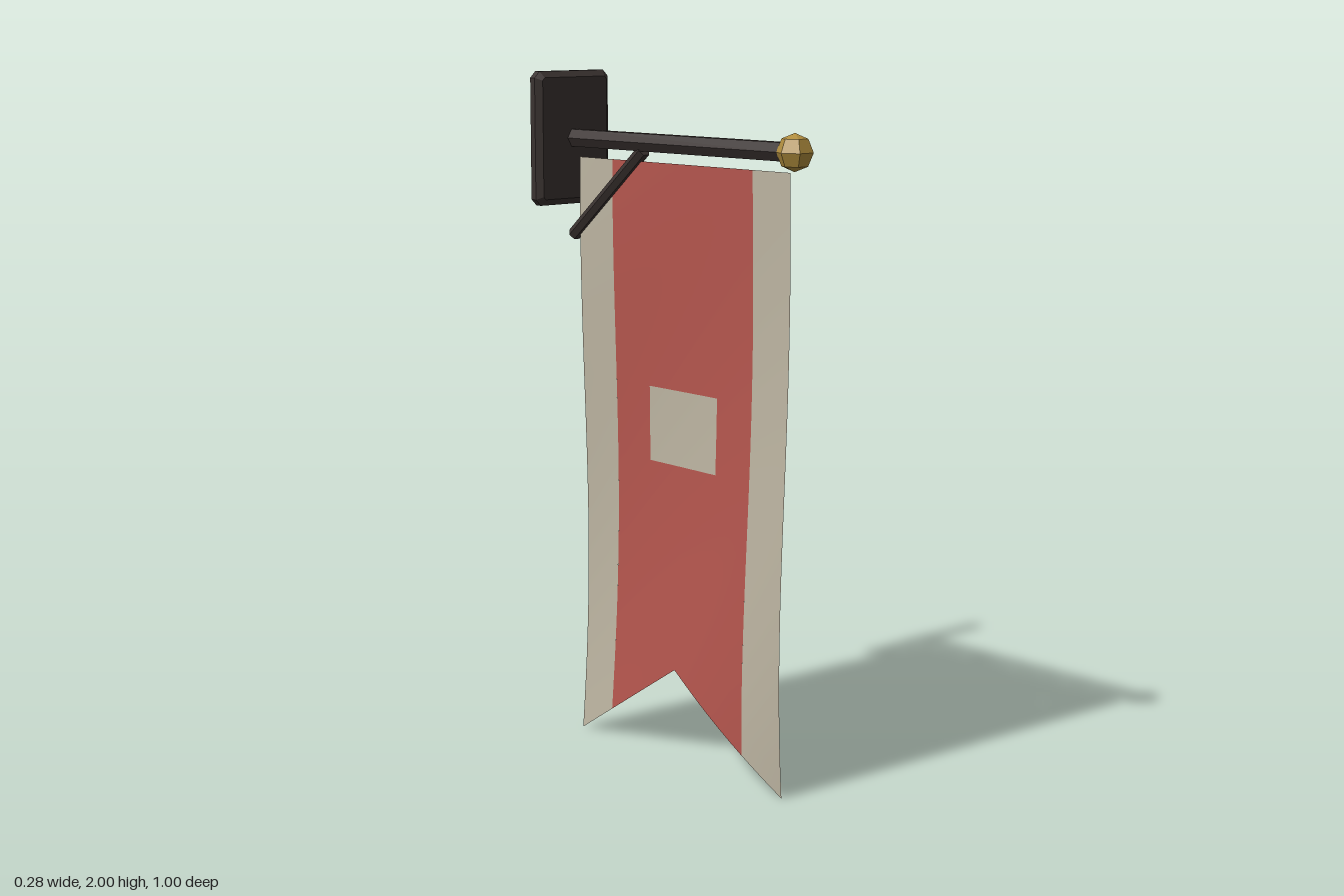
import * as THREE from 'three';

const material = (color, extra = {}) => new THREE.MeshStandardMaterial({ color, ...extra });

export function createModel() {
  const model = new THREE.Group();
  const iron = material(0x3a3230, { flatShading: true });
  const brass = material(0xb08d3e, { flatShading: true });
  const red = material(0xb5564e, { side: THREE.DoubleSide });
  const cream = material(0xbdb5a2, { side: THREE.DoubleSide });

  function add(name, geometry, mat, parent = model) {
    const mesh = new THREE.Mesh(geometry, mat);
    mesh.name = name;
    parent.add(mesh);
    return mesh;
  }

  // Six-sided bar between two points in the x = 0 plane, with corners on the x sides
  function bar(name, radius, [y0, z0], [y1, z1]) {
    const geometry = new THREE.CylinderGeometry(radius, radius, Math.hypot(y1 - y0, z1 - z0), 6);
    geometry.rotateY(Math.PI / 2);
    geometry.rotateX(Math.atan2(z1 - z0, y1 - y0));
    geometry.translate(0, (y0 + y1) / 2, (z0 + z1) / 2);
    add(name, geometry, iron);
  }

  // Wall plate with chamfered rim and clipped corners
  const bevel = 0.018, w = 0.14 - bevel, h = 0.195 - bevel, c = 0.008;
  const outline = new THREE.Shape([
    [-w + c, -h], [w - c, -h], [w, -h + c], [w, h - c],
    [w - c, h], [-w + c, h], [-w, h - c], [-w, -h + c],
  ].map(([x, y]) => new THREE.Vector2(x, y)));
  const plate = new THREE.ExtrudeGeometry(outline, {
    depth: 0.02, bevelSize: bevel, bevelThickness: 0.015, bevelSegments: 1,
  });
  plate.translate(0, 1.805, -0.485);
  add('wallPlate', plate, iron);

  // Pole, diagonal brace and faceted end knob
  bar('pole', 0.029, [1.805, -0.46], [1.805, 0.44]);
  bar('brace', 0.02, [1.519, -0.458], [1.782, -0.148]);
  const knob = new THREE.SphereGeometry(0.052, 6, 4);
  knob.translate(0, 1.805, 0.455);
  add('endKnob', knob, brass);

  // Cloth: panels of one hanging sheet that sways more towards the bottom
  const top = 1.75, half = 0.435, seam = 0.29, badge = 0.145;
  const badgeTop = 1.1, badgeBottom = 0.88;
  const hem = (z) => 0.28 * (1 - Math.abs(z) / half);
  const sway = (y, z) => {
    const t = (top - y) / top;
    return 0.037 * t * Math.sin(2.47 - 3 * z - 3.9 * (t - 0));
  };
  const banner = new THREE.Group();
  banner.name = 'banner';
  model.add(banner);

  function panel(name, mat, z0, z1, yTop, yBottom) {
    const geometry = new THREE.PlaneGeometry(1, 1, 12, 24);
    const p = geometry.attributes.position;
    for (let i = 0; i < p.count; i++) {
      const z = THREE.MathUtils.lerp(z0, z1, p.getX(i) + 0.5);
      const low = yBottom ?? hem(z);
      const y = THREE.MathUtils.lerp(low, yTop, p.getY(i) + 0.5);
      p.setXYZ(i, sway(y, z), y, z + 0.005);
    }
    geometry.computeVertexNormals();
    add(name, geometry, mat, banner);
  }

  panel('frontBorder', cream, seam, half, top);
  panel('backBorder', cream, -half, -seam, top);
  panel('upperField', red, -seam, seam, top, badgeTop);
  panel('lowerField', red, -seam, seam, badgeBottom);
  panel('frontField', red, badge, seam, badgeTop, badgeBottom);
  panel('backField', red, -seam, -badge, badgeTop, badgeBottom);
  panel('badge', cream, -badge, badge, badgeTop, badgeBottom);

  return model;
}
